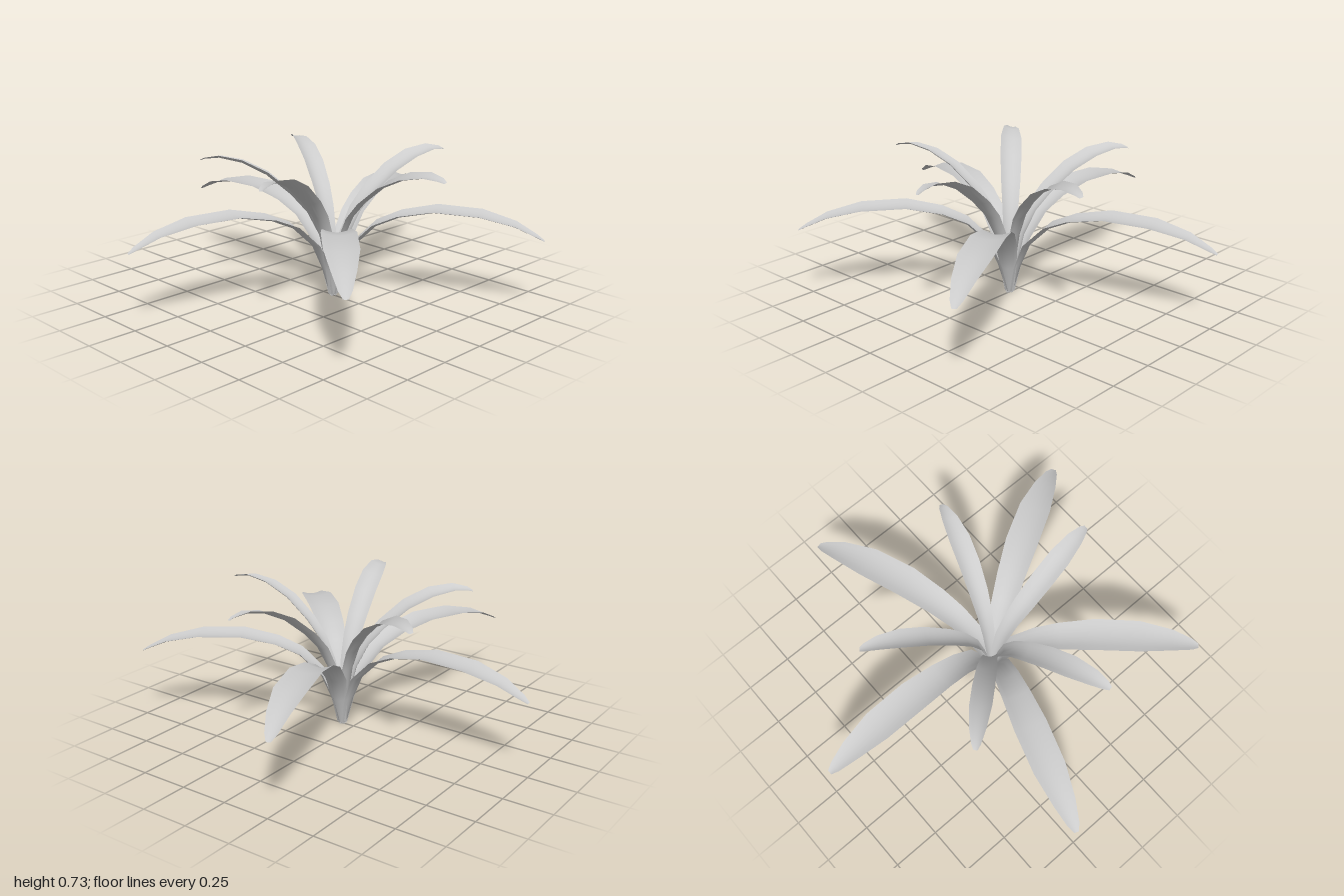
import * as THREE from 'three';

const ROOT_Z = 0.07;
const material = new THREE.MeshStandardMaterial({ color: 0xcccccc, side: THREE.DoubleSide });

// Midrib stations: distance from the root, height, half width, cup depth
const OUTER = [
  [0.018, 0.01, 0.024, 0.008], [0.058, 0.15, 0.041, 0.016], [0.11, 0.275, 0.056, 0.019],
  [0.22, 0.385, 0.063, 0.019], [0.34, 0.44, 0.072, 0.018], [0.515, 0.478, 0.083, 0.017],
  [0.736, 0.471, 0.081, 0.016], [0.904, 0.435, 0.056, 0.012], [1.01, 0.39, 0.030, 0.006],
  [1.048, 0.372, 0.012, 0.002],
];
const INNER = [
  [0.006, 0.0, 0.02, 0.006], [0.035, 0.17, 0.028, 0.010], [0.07, 0.32, 0.036, 0.013],
  [0.13, 0.44, 0.043, 0.015], [0.21, 0.53, 0.051, 0.017], [0.33, 0.63, 0.056, 0.017],
  [0.45, 0.69, 0.055, 0.015], [0.56, 0.714, 0.041, 0.011], [0.63, 0.708, 0.023, 0.005],
  [0.655, 0.70, 0.010, 0.001],
];

// Leaf tips as [x, z, sideways bow]
const OUTER_TIPS = [
  [0, -0.98, 0], [1, -0.27, 0.015], [0.525, 0.97, -0.015], [-0.71, 0.84, 0], [-1, -0.27, 0.015],
];
const INNER_TIPS = [
  [0.285, -0.52, 0], [0.62, 0.27, 0.01], [0.055, 0.73, 0.02], [-0.635, 0.245, 0.01], [-0.445, -0.425, 0],
];

const COLS = 6;

// A cupped strip swept along the midrib, edges raised, rolled about the midrib
function leafGeometry(profile, bow, roll) {
  const positions = [], index = [];
  const last = profile.length - 1, length = profile[last][0];
  const c = Math.cos(roll), sn = Math.sin(roll);
  profile.forEach(([r, y, half, cup], i) => {
    const a = profile[Math.max(i - 1, 0)], b = profile[Math.min(i + 1, last)];
    const run = b[0] - a[0], rise = b[1] - a[1], len = Math.hypot(run, rise);
    const side = bow * Math.sin(Math.PI * r / length);
    for (let j = 0; j <= COLS; j++) {
      const s = (j / COLS) * 2 - 1;
      const across = s * half * c + cup * s * s * sn;
      const lift = cup * s * s * c - s * half * sn;
      positions.push(r - (rise / len) * lift, y + (run / len) * lift, side + across);
    }
  });
  for (let i = 0; i < last; i++) {
    for (let j = 0; j < COLS; j++) {
      const p = i * (COLS + 1) + j, q = p + COLS + 1;
      index.push(p, p + 1, q, p + 1, q + 1, q);
    }
  }
  const geometry = new THREE.BufferGeometry();
  geometry.setAttribute('position', new THREE.Float32BufferAttribute(positions, 3));
  geometry.setIndex(index);
  geometry.computeVertexNormals();
  return geometry;
}

// A ring of leaves, each turned and stretched to reach its tip
function leafRing(name, profile, tips, roll) {
  const ring = new THREE.Group();
  ring.name = name + 'Ring';
  const reach = profile[profile.length - 1][0];
  tips.forEach(([x, z, bow], i) => {
    const leaf = new THREE.Mesh(leafGeometry(profile, bow, roll), material);
    leaf.name = name + (i + 1);
    leaf.rotation.y = -Math.atan2(z - ROOT_Z, x);
    leaf.scale.x = Math.hypot(x, z - ROOT_Z) / reach;
    ring.add(leaf);
  });
  ring.position.z = ROOT_Z;
  return ring;
}

export function createModel() {
  const plant = new THREE.Group();
  plant.name = 'rosettePlant';
  plant.add(leafRing('outerLeaf', OUTER, OUTER_TIPS, 0));
  plant.add(leafRing('innerLeaf', INNER, INNER_TIPS, 0.2));
  return plant;
}
